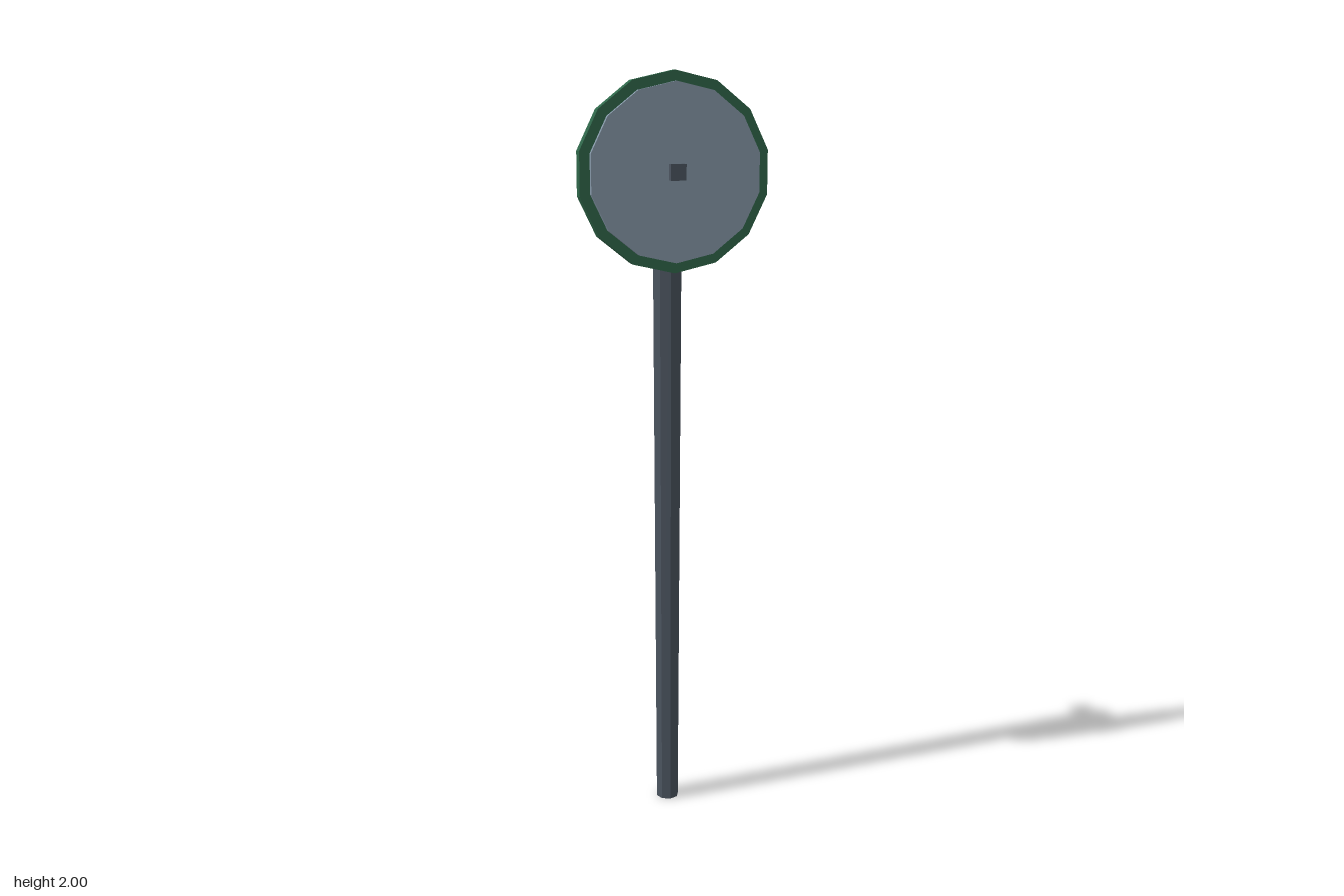
import * as THREE from 'three';

const material = (color) => new THREE.MeshStandardMaterial({ color, flatShading: true });

export function createModel() {
  const group = new THREE.Group();
  const steel = material(0x4b545f);
  const green = material(0x2f6649);
  const pale = material(0x8597a7);
  const hubY = 1.747;

  const add = (name, geometry, mat, x, y, z) => {
    const mesh = new THREE.Mesh(geometry, mat);
    mesh.name = name;
    mesh.position.set(x, y, z);
    group.add(mesh);
  };

  // 14-sided disc facing +z with a corner at the top
  const disc = (name, radius, back, front, mat) => {
    const geometry = new THREE.CylinderGeometry(radius, radius, front - back, 14);
    geometry.rotateX(Math.PI / 2);
    add(name, geometry, mat, 0, hubY, (back + front) / 2);
  };

  // Eight-sided pole, slightly wider at the top
  add('pole', new THREE.CylinderGeometry(0.04, 0.031, 1.795, 8), steel, 0, 0.8975, -0.013);

  // Sign disc with a smaller raised face
  disc('signRim', 0.253, 0.027, 0.062, green);
  disc('signFace', 0.226, 0.045, 0.077, pale);

  // Square bolt through the disc and pole
  add('bolt', new THREE.BoxGeometry(0.041, 0.041, 0.196), steel, 0, 1.75, -0.001);

  return group;
}
